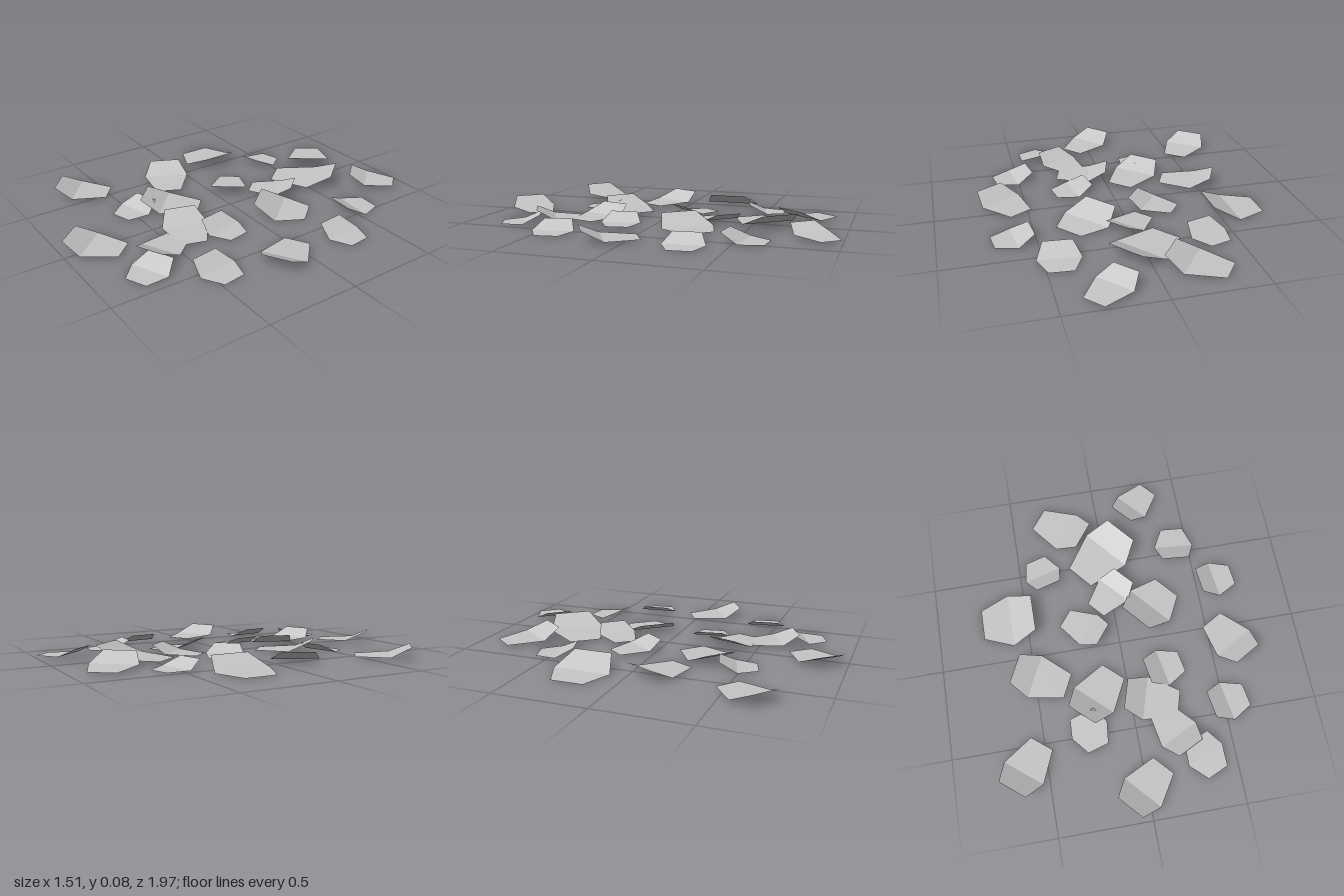
import * as THREE from 'three';

// Each petal: crease centre x, z, half width at the crease, heading of the curled tip in degrees
const longPetals = [
  [-0.19, -0.74, 0.129, 37], [0.22, -0.84, 0.108, 139], [0.02, -0.58, 0.152, -39],
  [0.02, -0.32, 0.106, -41], [-0.16, -0.10, 0.104, 38], [-0.50, 0.12, 0.127, -154],
  [-0.20, 0.31, 0.131, 133], [0.08, 0.35, 0.124, -163], [0.63, 0.12, 0.122, 60],
  [-0.63, 0.64, 0.122, 129], [0.22, 0.58, 0.115, 64], [-0.03, 0.85, 0.122, 138],
];
const roundPetals = [
  [-0.37, -0.49, 0.107, 74], [0.42, -0.54, 0.114, 95], [0.61, -0.29, 0.109, 174],
  [0.21, 0.19, 0.109, 170], [-0.25, 0.47, 0.106, -107], [0.52, 0.44, 0.112, 171],
  [0.34, 0.71, 0.110, -114], [-0.59, -0.24, 0.156, 0], [0.21, -0.19, 0.148, 140],
];

// Folded six-sided petal: base lying almost flat, tip bent upward along the crease
function petalGeometry([x, z, r, heading], baseLength, baseY, creaseY) {
  const a = THREE.MathUtils.degToRad(heading);
  const rows = [ // distance along heading, half width, height
    [-baseLength * r, 0.56 * r, baseY],
    [0, r, creaseY],
    [0.87 * r, 0.67 * r, creaseY + 0.41 * r],
  ];
  const corner = ([l, w, y], side) => [
    x + Math.cos(a) * l - Math.sin(a) * w * side,
    y,
    z + Math.sin(a) * l + Math.cos(a) * w * side,
  ];
  const points = [];
  for (let i = 0; i < 2; i++) {
    const p = corner(rows[i], -1), q = corner(rows[i], 1);
    const s = corner(rows[i + 1], 1), t = corner(rows[i + 1], -1);
    points.push(...p, ...q, ...s, ...p, ...s, ...t);
  }
  const geometry = new THREE.BufferGeometry();
  geometry.setAttribute('position', new THREE.Float32BufferAttribute(points, 3));
  geometry.computeVertexNormals();
  return geometry;
}

export function createModel() {
  const model = new THREE.Group();
  model.name = 'scatteredPetals';
  const petalGrey = new THREE.MeshStandardMaterial({ color: 0xc6c6c6, side: THREE.DoubleSide, flatShading: true });
  petalGrey.name = 'petalGrey';

  const scatter = (list, name, ...shape) => list.forEach((petal, i) => {
    const mesh = new THREE.Mesh(petalGeometry(petal, ...shape), petalGrey);
    mesh.name = name + (i + 1);
    model.add(mesh);
  });
  scatter(longPetals, 'longPetal', 1.5, 0.009, 0.016);
  scatter(roundPetals, 'roundPetal', 1.03, 0, 0.003);
  return model;
}
